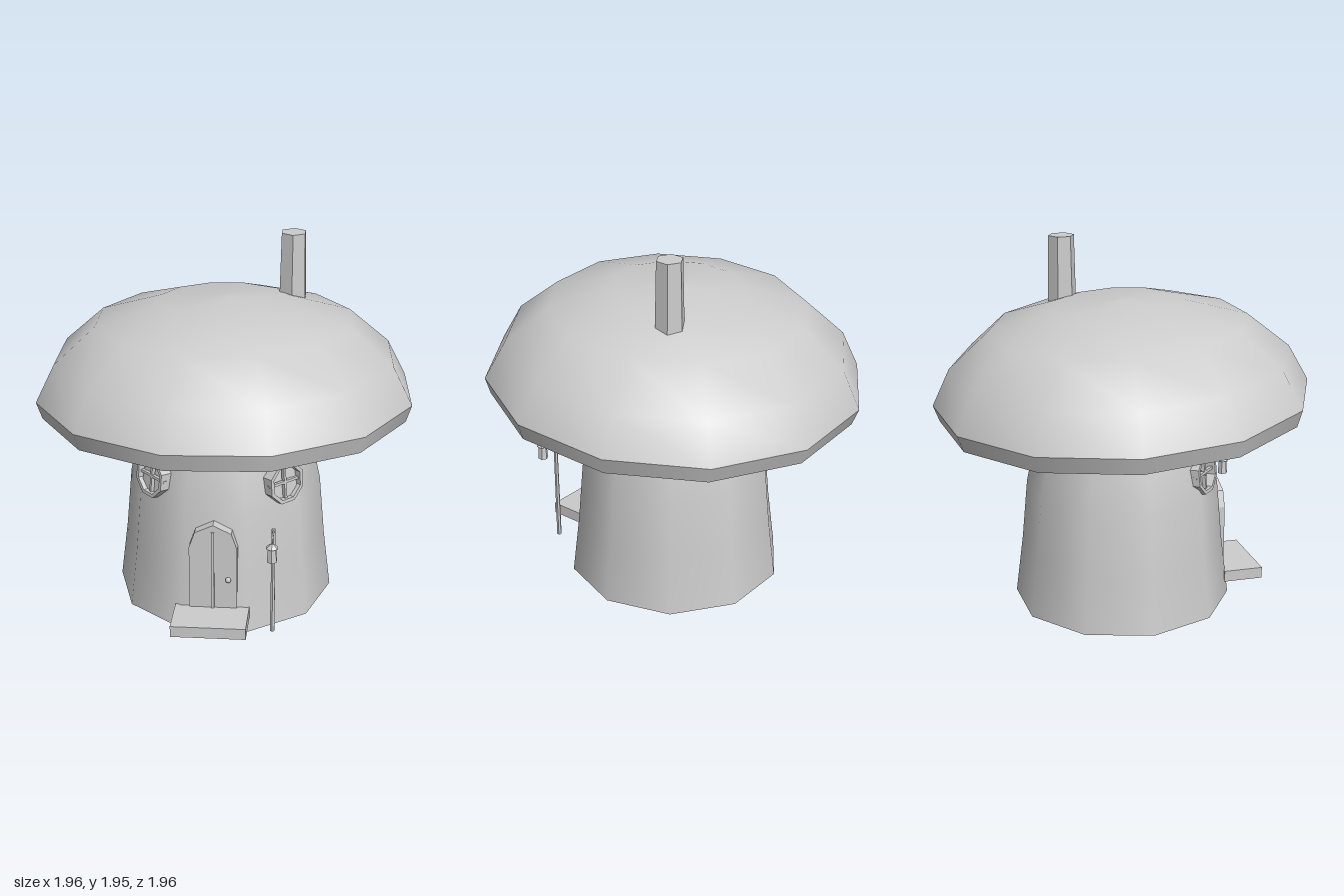
import * as THREE from 'three';

const clay = new THREE.MeshStandardMaterial({ color: 0xcccccc, side: THREE.DoubleSide });
clay.name = 'pale grey';

function add(parent, name, geometry, x = 0, y = 0, z = 0) {
  const mesh = new THREE.Mesh(geometry, clay);
  mesh.name = name;
  mesh.position.set(x, y, z);
  parent.add(mesh);
  return mesh;
}

function addGroup(parent, name) {
  const group = new THREE.Group();
  group.name = name;
  parent.add(group);
  return group;
}

function lathe(points, sides, start) {
  return new THREE.LatheGeometry(points.map(([r, y]) => new THREE.Vector2(r, y)), sides, start);
}

// Faceted tapered prism
function prism(top, bottom, height, sides, start = 0) {
  const g = new THREE.CylinderGeometry(top, bottom, height, sides, 1, false, start).toNonIndexed();
  g.computeVertexNormals();
  return g;
}

function extrude(shape, depth) {
  return new THREE.ExtrudeGeometry(shape, { depth, bevelEnabled: false });
}

function octagon(r) {
  return Array.from({ length: 8 }, (_, i) => {
    const a = (i + 0.5) * Math.PI / 4;
    return new THREE.Vector2(r * Math.cos(a), r * Math.sin(a));
  });
}

export function createModel() {
  const model = new THREE.Group();
  model.name = 'mushroomHouse';

  // Ten-sided stalk, open at the bottom
  add(model, 'stalkWall', lathe(
    [[0.585, 0], [0.545, 0.32], [0.515, 0.65], [0.45, 0.95], [0.37, 1.2]], 10, Math.PI / 10));

  // Twelve-sided cap, tilted up at the front; separate bands keep the rim sharp
  const cap = addGroup(model, 'cap');
  cap.position.y = 1.15;
  cap.rotation.set(-0.05, 0, 0.013);
  const bands = {
    capSocket: [[0.4, 0.1], [0.43, -0.08]],
    capUnderside: [[0.43, -0.08], [0.97, -0.09]],
    capRim: [[0.97, -0.09], [1.0, 0]],
    capDome: [[1.0, 0], [0.9, 0.195], [0.68, 0.385], [0.35, 0.483], [0, 0.507]],
  };
  for (const [name, points] of Object.entries(bands)) {
    add(cap, name, lathe(points, 12, THREE.MathUtils.degToRad(18.5)));
  }

  // Hexagonal chimney
  add(model, 'chimney', prism(0.07, 0.079, 0.395, 6), 0.335, 1.7475, -0.235);

  // Arched door with centre strip and knob
  const door = addGroup(model, 'door');
  const arch = new THREE.Shape([
    [-0.13, 0.1], [0.12, 0.1], [0.12, 0.48], [0.09, 0.567], [-0.005, 0.613], [-0.1, 0.567], [-0.13, 0.48],
  ].map(([x, y]) => new THREE.Vector2(x, y)));
  add(door, 'doorPanel', extrude(arch, 0.1), 0, 0, 0.45);
  add(door, 'doorStrip', new THREE.BoxGeometry(0.016, 0.46, 0.012), -0.006, 0.345, 0.553);
  add(door, 'doorKnob', new THREE.SphereGeometry(0.015, 8, 6), 0.075, 0.305, 0.56);

  // Slightly crooked doorstep
  const step = add(model, 'doorstep', new THREE.BoxGeometry(0.39, 0.062, 0.22), -0.01, 0.1, 0.64);
  step.rotation.set(0.02, 0, 0.02);

  // Octagonal windows with cross bars, one on each front corner
  for (const side of [-1, 1]) {
    const window = addGroup(model, side > 0 ? 'leftWindow' : 'rightWindow');
    window.position.set(side * 0.343, 0.78, 0.343);
    window.rotation.set(-0.1, side * Math.PI / 4, 0, 'YXZ');
    const ring = new THREE.Shape(octagon(0.115));
    ring.holes.push(new THREE.Path(octagon(0.095).reverse()));
    add(window, 'windowFrame', extrude(ring, 0.08), 0, 0, -0.055);
    add(window, 'windowUpright', new THREE.BoxGeometry(0.014, 0.2, 0.02));
    add(window, 'windowCrossbar', new THREE.BoxGeometry(0.22, 0.014, 0.02));
  }

  // Lamp post with an arm and hanging lantern
  const lamp = addGroup(model, 'lamp');
  lamp.position.set(0.31, 0, 0.603);
  add(lamp, 'lampPost', prism(0.011, 0.013, 0.595, 6), 0, 0.3425, 0);
  add(lamp, 'lampArm', new THREE.BoxGeometry(0.008, 0.008, 0.105), 0, 0.629, 0.05);
  add(lamp, 'lanternHook', new THREE.BoxGeometry(0.006, 0.03, 0.006), 0, 0.615, 0.1);
  add(lamp, 'lanternRoof', prism(0.008, 0.034, 0.022, 6), 0, 0.597, 0.1);
  add(lamp, 'lanternBody', prism(0.023, 0.028, 0.076, 6), 0, 0.548, 0.1);

  return model;
}
